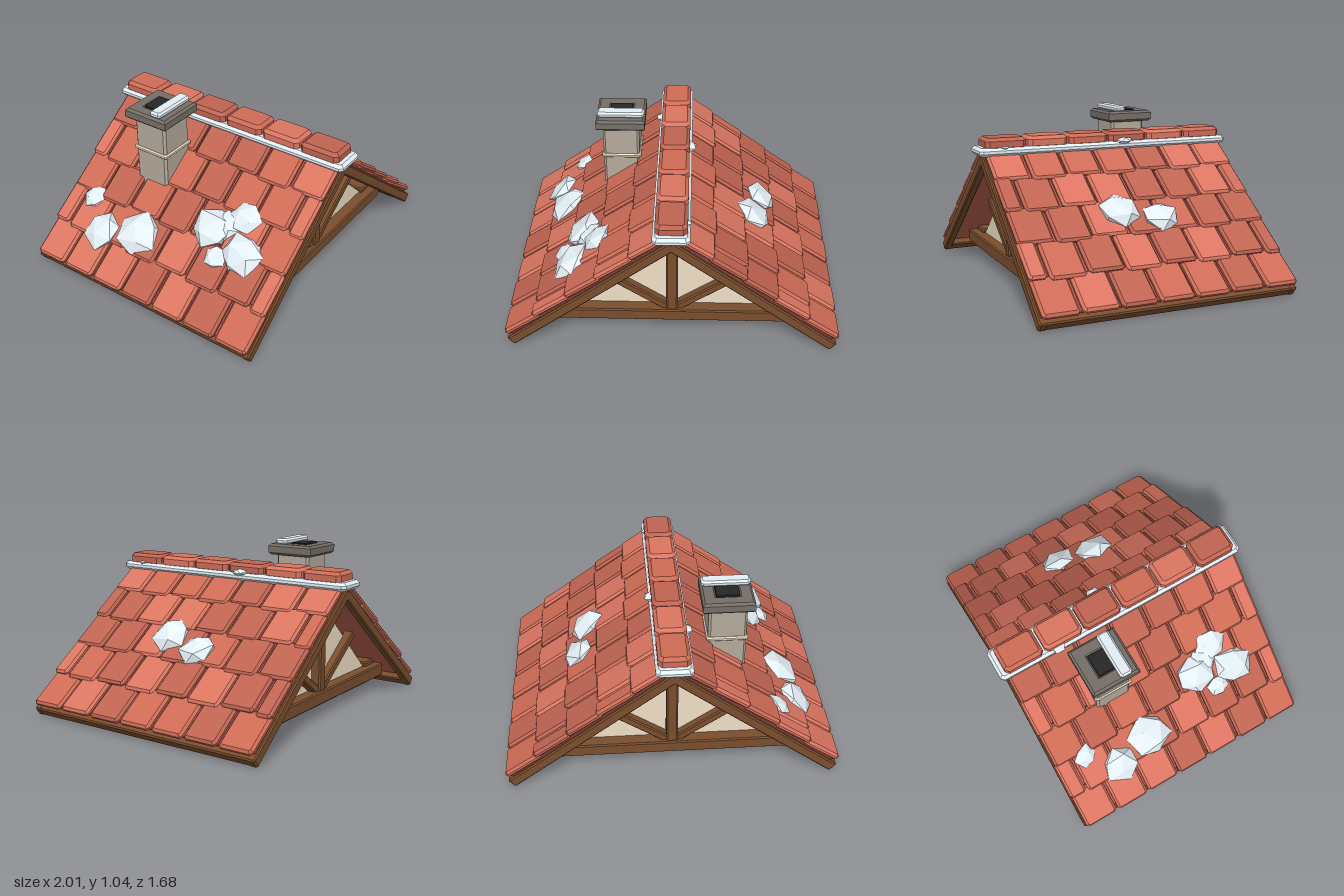
import * as THREE from 'three';

const mat = (color) => new THREE.MeshStandardMaterial({ color, flatShading: true });
const wood = mat(0x7a4e2e), tileMats = [mat(0xcf6c57), mat(0xdc7662), mat(0xc06452)];
const deckMat = mat(0xb8604e), snow = mat(0xe4eff6), plaster = mat(0xefdfc5);
const stone = mat(0xb5aa9c), darkStone = mat(0x766f68), soot = mat(0x262626);

const PITCH = Math.atan(0.777), APEX = 0.748;   // roof angle, underside height at the ridge

let seed = 7;
const rand = () => (seed = (seed * 16807) % 2147483647) / 2147483647;

// Box with all edges and upright corners chamfered, centred on the origin
function chamferBox(w, h, d, b) {
  const x = w / 2 - b, z = d / 2 - b, c = b * 0.6;
  const shape = new THREE.Shape([
    [-x + c, -z], [x - c, -z], [x, -z + c], [x, z - c],
    [x - c, z], [-x + c, z], [-x, z - c], [-x, -z + c]].map((p) => new THREE.Vector2(...p)));
  const g = new THREE.ExtrudeGeometry(shape, {
    depth: h - 2 * b, bevelEnabled: true, bevelSize: b, bevelThickness: b, bevelSegments: 1 });
  g.translate(0, 0, b - h / 2);
  return g.rotateX(-Math.PI / 2);
}

function add(parent, name, geometry, material, x = 0, y = 0, z = 0) {
  const mesh = new THREE.Mesh(geometry, material);
  mesh.name = name;
  mesh.position.set(x, y, z);
  parent.add(mesh);
  return mesh;
}

// Block given by its limits on each axis
function block(parent, name, material, [x0, x1], [y0, y1], [z0, z1], b = 0.008) {
  return add(parent, name, chamferBox(x1 - x0, y1 - y0, z1 - z0, b), material,
    (x0 + x1) / 2, (y0 + y1) / 2, (z0 + z1) / 2);
}

// Angular lump with jittered corners, flattened along y
function lump(r, squash) {
  const g = new THREE.IcosahedronGeometry(r, 0);
  const p = g.attributes.position, seen = {};
  for (let i = 0; i < p.count; i++) {
    const key = [p.getX(i), p.getY(i), p.getZ(i)].map((n) => Math.round(n * 1e4)).join();
    const k = (seen[key] ??= 0.9 + 0.3 * rand());
    p.setXYZ(i, p.getX(i) * k, p.getY(i) * k * squash, p.getZ(i) * k);
  }
  return g;
}

// One roof slope: local x runs down the slope, local y is its normal
function roofSlope(lumps, side) {
  const slope = new THREE.Group();
  slope.position.y = APEX;
  slope.rotation.z = -PITCH;

  block(slope, 'roofDeck', deckMat, [-0.03, 1.17], [0.035, 0.065], [-0.79, 0.79], 0.004);
  for (const s of [-1, 1])
    add(slope, 'bargeBoard', chamferBox(1.245, 0.064, 0.05, 0.008), wood, 0.5885, 0.024, s * 0.782);
  block(slope, 'eaveBeam', wood, [1.13, 1.209], [-0.006, 0.055], [-0.8, 0.8]);

  // Staggered tile rows, alternate rows ending in half tiles
  const width = 0.23, rows = 5;
  for (let r = 0; r < rows; r++) {
    const odd = r % 2;
    for (let i = 0; i < 7 + odd; i++) {
      let z0 = -0.808 + width * (i - odd / 2), z1 = z0 + width;
      z0 = Math.max(z0, -0.808);
      z1 = Math.min(z1, 0.808);
      const slip = r ? 0.014 * ((i + r) % 2) : 0;
      const tile = add(slope, 'roofTile', chamferBox(0.27, 0.042, z1 - z0 - 0.014, 0.014),
        tileMats[Math.floor(rand() * 3)],
        1.197 - 0.241 * r - 0.135 + slip, (r ? 0.088 : 0.081) + 0.004 * (i % 2), (z0 + z1) / 2);
      tile.rotation.z = 0.045;
    }
  }

  // Snow patches, placed by plan position and radius
  const lift = 0.11;
  for (const [x, z, r] of lumps) {
    const m = add(slope, 'snowPatch', lump(r, 0.42), snow,
      (Math.abs(x) - lift * Math.sin(PITCH)) / Math.cos(PITCH), lift, side * z);
    m.rotation.y = rand() * 6;
  }

  const turned = new THREE.Group();
  turned.name = side > 0 ? 'leftSlope' : 'rightSlope';
  turned.rotation.y = side > 0 ? 0 : Math.PI;
  turned.add(slope);
  return turned;
}

// Gable truss with plaster infill, facing +z
function gable() {
  const g = new THREE.Group();
  g.name = 'gable';
  const tri = new THREE.Shape([
    new THREE.Vector2(-0.72, 0.11), new THREE.Vector2(0.72, 0.11), new THREE.Vector2(0, 0.755)]);
  add(g, 'gablePanel', new THREE.ExtrudeGeometry(tri, { depth: 0.13, bevelEnabled: false }),
    plaster, 0, 0, 0.46);
  block(g, 'tieBeam', wood, [-0.805, 0.805], [0.088, 0.17], [0.575, 0.665]);
  block(g, 'kingPost', wood, [-0.035, 0.035], [0.15, 0.77], [0.575, 0.65]);
  for (const s of [-1, 1]) {
    const strut = add(g, 'strut', chamferBox(0.5, 0.05, 0.065, 0.008), wood, s * 0.215, 0.3, 0.607);
    strut.rotation.z = s * 0.61;
  }
  return g;
}

function chimney() {
  const g = new THREE.Group();
  g.name = 'chimney';
  g.position.set(-0.345, 0, -0.283);
  const square = (name, m, half, y0, y1, b) =>
    block(g, name, m, [-half, half], [y0, y1], [-half, half], b);
  square('chimneyShaft', stone, 0.115, 0.28, 0.95, 0.012);
  square('chimneyBand', plaster, 0.125, 0.722, 0.75, 0.008);
  // Cap ring around the flue
  const ring = new THREE.Shape();
  const rect = (p, a) => p.moveTo(-a, -a).lineTo(a, -a).lineTo(a, a).lineTo(-a, a).closePath();
  rect(ring, 0.14);
  const hole = new THREE.Path();
  rect(hole, 0.08);
  ring.holes.push(hole);
  const cap = new THREE.ExtrudeGeometry(ring, {
    depth: 0.042, bevelEnabled: true, bevelSize: 0.014, bevelThickness: 0.014, bevelSegments: 1 });
  add(g, 'chimneyCap', cap.rotateX(-Math.PI / 2), darkStone, 0, 0.953, 0);
  square('flue', soot, 0.07, 0.94, 1.015, 0.002);
  block(g, 'chimneySnow', snow, [-0.148, 0.148], [1.006, 1.045], [0.03, 0.11], 0.012);
  return g;
}

export function createModel() {
  const model = new THREE.Group();
  model.name = 'roof';

  model.add(roofSlope([[0.555, -0.12, 0.115], [0.5, 0.12, 0.13]], 1));
  model.add(roofSlope([
    [-0.65, -0.6, 0.075], [-0.78, -0.42, 0.12], [-0.73, -0.18, 0.145], [-0.62, 0.5, 0.125],
    [-0.46, 0.42, 0.1], [-0.56, 0.25, 0.125], [-0.68, 0.36, 0.07], [-0.52, 0.33, 0.09]], -1));

  // Front and back gables, joined by wall plates
  const back = gable();
  back.rotation.y = Math.PI;
  model.add(gable(), back);
  for (const s of [-1, 1])
    add(model, 'wallPlate', chamferBox(0.13, 0.09, 1.22, 0.008), wood, s * 0.71, 0.153, 0);

  // Ridge: snow strip, cap tiles and small flakes
  block(model, 'ridgeSnow', snow, [-0.107, 0.107], [0.803, 0.856], [-0.838, 0.838], 0.018);
  for (let i = 0; i < 6; i++)
    add(model, 'ridgeTile', chamferBox(0.185, 0.078, 0.255, 0.02), tileMats[i % 3],
      0, 0.874, -0.669 + i * 0.2676);
  for (const [x, z, r] of [[0.085, -0.1, 0.06], [-0.085, -0.45, 0.045], [0.09, 0.68, 0.025]])
    add(model, 'ridgeFlake', lump(r, 0.4), snow, x, 0.855, z);

  model.add(chimney());
  return model;
}
